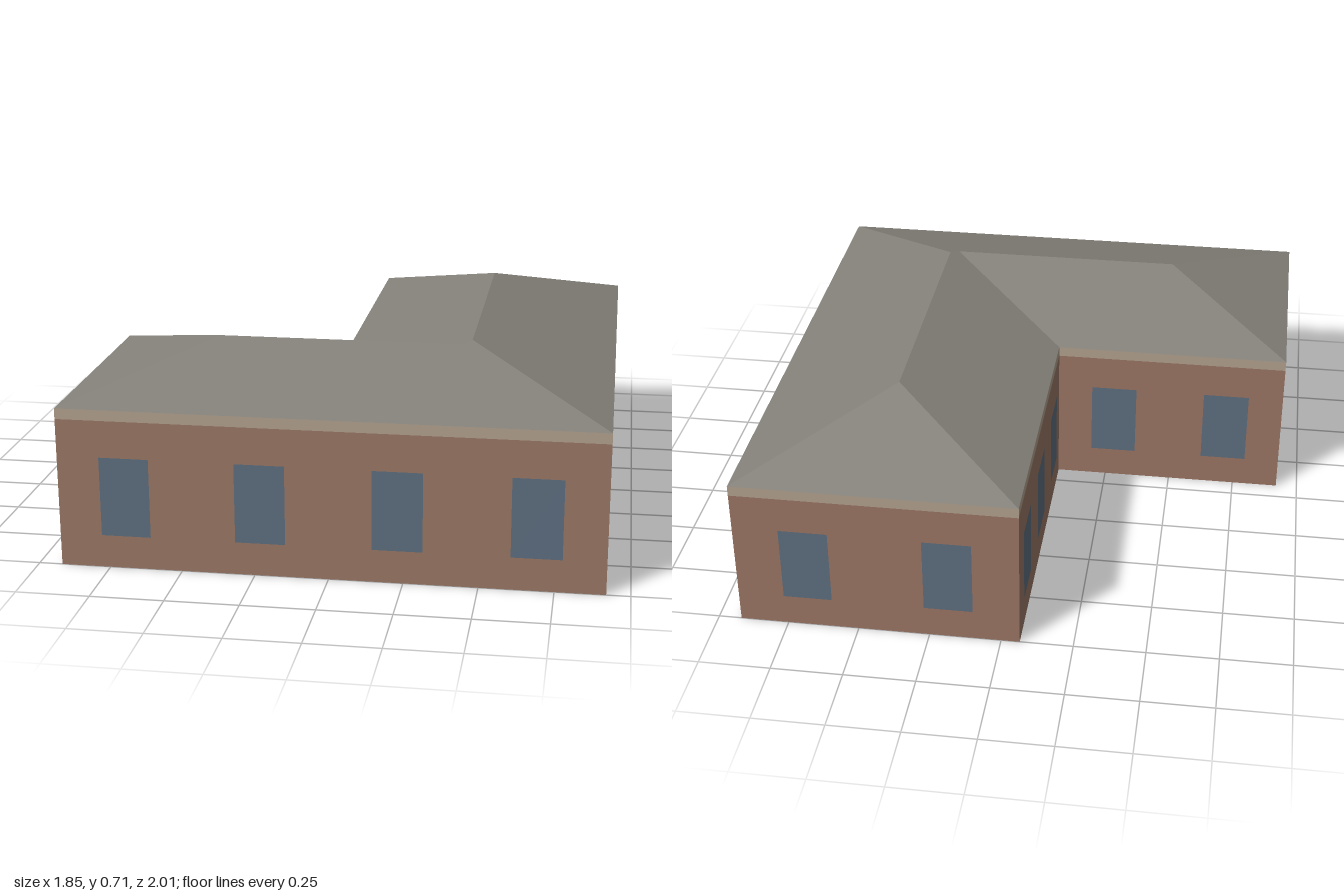
import * as THREE from 'three';

const mat = (name, color, side = THREE.FrontSide) => {
  const m = new THREE.MeshStandardMaterial({ color, side });
  m.name = name;
  return m;
};

// Plan lines of the L shape
const E = 0.92, W = -0.92, N = -1, S = 1; // outer limits
const IX = -0.065, IZ = 0.075;            // inner corner
const BAND = 0.52, EAVE = 0.557, SLOPE = 0.313;

export function createModel() {
  const brick = mat('brick', 0x9c7866, THREE.DoubleSide);
  const trim = mat('trim', 0xb5a490, THREE.DoubleSide);
  const roofing = mat('roofing', 0x84817a, THREE.DoubleSide);
  const glass = mat('glass', 0x5f7082);
  const house = new THREE.Group();
  house.name = 'house';

  // Upright panel inside a wall group, whose +z faces outward
  const panel = (parent, name, material, x, w, y0, y1, out = 0) => {
    const mesh = new THREE.Mesh(new THREE.PlaneGeometry(w, y1 - y0), material);
    mesh.position.set(x, (y0 + y1) / 2, out);
    mesh.name = name;
    parent.add(mesh);
  };

  // Walls: start x, z, end x, z and number of windows
  const walls = [
    ['frontWall', W, S, E, S, 4],
    ['leftWall', E, S, E, N, 5],
    ['backWall', E, N, IX, N, 2],
    ['innerSideWall', IX, N, IX, IZ, 3],
    ['innerBackWall', IX, IZ, W, IZ, 2],
    ['rightWall', W, IZ, W, S, 2],
  ];
  for (const [name, x0, z0, x1, z1, count] of walls) {
    const wall = new THREE.Group();
    wall.name = name;
    const length = Math.hypot(x1 - x0, z1 - z0);
    wall.position.set((x0 + x1) / 2, 0, (z0 + z1) / 2);
    wall.rotation.y = Math.atan2(z0 - z1, x1 - x0);
    panel(wall, 'brickwork', brick, 0, length, 0, BAND);
    panel(wall, 'eaveBand', trim, 0, length, BAND, EAVE);
    for (let i = 0; i < count; i++) {
      panel(wall, 'window', glass, ((i + 0.5) / count - 0.5) * length, 0.17, 0.115, 0.392, 0.003);
    }
    house.add(wall);
  }

  // Ridge points: each rises with its distance from the eaves
  const d = (E - IX) / 2, e = (S - IZ) / 2;
  const at = (x, z, run = 0) => [x, EAVE + SLOPE * run, z];
  const mainBack = at(E - d, N + d, d), mainFront = at(E - d, S - d, d);
  const wingEnd = at(W + e, S - e, e), wingJoin = at(IX + e, S - e, e);
  const slopes = {
    frontSlope: [wingJoin, wingEnd, at(W, S), at(E, S), mainFront],
    leftSlope: [at(E, S), at(E, N), mainBack, mainFront],
    backHip: [at(E, N), at(IX, N), mainBack],
    innerSideSlope: [at(IX, N), at(IX, IZ), wingJoin, mainFront, mainBack],
    innerBackSlope: [at(IX, IZ), at(W, IZ), wingEnd, wingJoin],
    rightHip: [at(W, IZ), at(W, S), wingEnd],
  };

  // Each roof slope is a flat fan of triangles
  const roof = new THREE.Group();
  roof.name = 'roof';
  for (const [name, pts] of Object.entries(slopes)) {
    const index = [];
    for (let i = 1; i < pts.length - 1; i++) index.push(0, i, i + 1);
    const geo = new THREE.BufferGeometry();
    geo.setAttribute('position', new THREE.Float32BufferAttribute(pts.flat(), 3));
    geo.setIndex(index);
    geo.computeVertexNormals();
    const mesh = new THREE.Mesh(geo, roofing);
    mesh.name = name;
    roof.add(mesh);
  }
  house.add(roof);
  return house;
}
